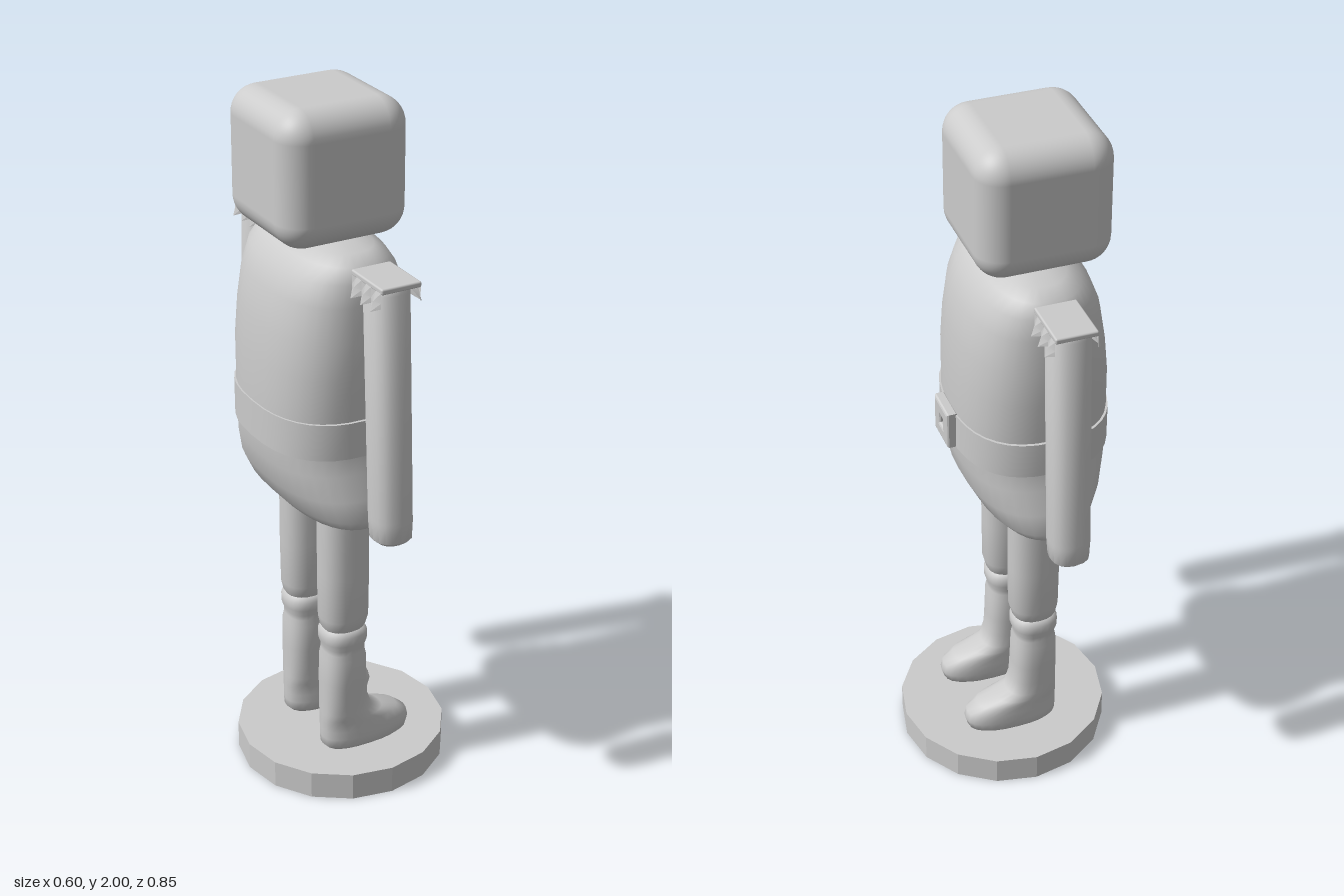
import * as THREE from 'three';
import { toCreasedNormals } from 'three/addons/utils/BufferGeometryUtils.js';
import { RoundedBoxGeometry } from 'three/addons/geometries/RoundedBoxGeometry.js';

const material = new THREE.MeshStandardMaterial({ color: 0xcccccc });
const thinMaterial = new THREE.MeshStandardMaterial({ color: 0xcccccc, side: THREE.DoubleSide });

function add(parent, name, geometry, x = 0, y = 0, z = 0, mat = material) {
  const mesh = new THREE.Mesh(geometry, mat);
  mesh.name = name;
  mesh.position.set(x, y, z);
  parent.add(mesh);
  return mesh;
}

// Closed loft through level rounded sections, each [y, back x, front x, half width in z]
function loft(sections, power = 2.4, sides = 32, crease = 0.8) {
  const points = [], index = [];
  const round = (v) => Math.sign(v) * Math.abs(v) ** (2 / power);
  for (const [y, x0, x1, w] of sections) {
    for (let j = 0; j < sides; j++) {
      const a = (j / sides) * Math.PI * 2;
      points.push((x0 + x1) / 2 + round(Math.cos(a)) * (x1 - x0) / 2, y, round(Math.sin(a)) * w);
    }
  }
  const last = sections.length - 1;
  for (let i = 0; i < last; i++) {
    for (let j = 0; j < sides; j++) {
      const a = i * sides + j, b = i * sides + (j + 1) % sides;
      index.push(a, a + sides, b, b, a + sides, b + sides);
    }
  }
  const bottom = points.length / 3, top = bottom + 1;
  for (const [y, x0, x1] of [sections[0], sections[last]]) points.push((x0 + x1) / 2, y, 0);
  for (let j = 0; j < sides; j++) {
    const k = (j + 1) % sides;
    index.push(bottom, j, k, top, last * sides + k, last * sides + j);
  }
  const g = new THREE.BufferGeometry();
  g.setAttribute('position', new THREE.Float32BufferAttribute(points, 3));
  g.setIndex(index);
  return toCreasedNormals(g, crease);
}

// Pleated strip hanging from one long edge of a shoulder board
function fringe(length, height, pleats) {
  const g = new THREE.PlaneGeometry(length, height, pleats * 2, 2);
  const p = g.attributes.position;
  for (let i = 0; i < p.count; i++) {
    const column = i % (pleats * 2 + 1);
    const drop = 0.5 - p.getY(i) / height;
    p.setZ(i, column % 2 ? 0.018 * drop : 0);
    if (column % 2 === 0 && drop > 0.9) p.setY(i, p.getY(i) + 0.012);
  }
  return toCreasedNormals(g, 0.3);
}

function createArm(side) {
  const arm = new THREE.Group();
  arm.name = side > 0 ? 'leftArm' : 'rightArm';
  const sleeve = add(arm, 'sleeve', loft([
    [-0.36, -0.042, 0.042, 0.045], [-0.35, -0.053, 0.053, 0.056], [-0.3, -0.056, 0.056, 0.059],
    [-0.29, -0.056, 0.056, 0.059], [0.34, -0.056, 0.056, 0.062], [0.355, -0.05, 0.05, 0.056],
  ], 2.4, 16), -0.055, 1.235, side * 0.35);
  sleeve.rotation.x = -side * 0.05;

  // Shoulder board with pleated fringes front and back
  const board = new THREE.Group();
  board.name = 'epaulette';
  board.position.set(-0.052, 1.6, side * 0.326);
  add(board, 'shoulderBoard', new RoundedBoxGeometry(0.115, 0.016, 0.155, 2, 0.005));
  for (const face of [1, -1]) {
    const strip = add(board, 'fringe', fringe(0.145, 0.055, 3), face * 0.057, -0.03, 0, thinMaterial);
    strip.rotation.y = face * Math.PI / 2;
  }
  arm.add(board);
  return arm;
}

function createLeg(side) {
  const leg = new THREE.Group();
  leg.name = side > 0 ? 'leftLeg' : 'rightLeg';
  leg.position.z = side * 0.11;
  add(leg, 'trouser', loft([
    [0.46, -0.105, -0.005, 0.045], [0.48, -0.118, 0.008, 0.057], [0.51, -0.124, 0.016, 0.064],
    [0.65, -0.126, 0.018, 0.065], [0.88, -0.126, 0.018, 0.064],
  ], 2.3, 20));
  add(leg, 'boot', loft([
    [0.08, -0.11, 0.125, 0.052], [0.09, -0.12, 0.145, 0.059], [0.115, -0.122, 0.153, 0.061],
    [0.14, -0.122, 0.147, 0.06], [0.165, -0.122, 0.115, 0.059], [0.18, -0.122, 0.065, 0.059],
    [0.2, -0.121, 0.028, 0.059], [0.24, -0.12, 0.014, 0.059], [0.3, -0.12, 0.01, 0.062],
    [0.38, -0.118, 0.007, 0.062], [0.4, -0.114, 0.003, 0.058], [0.415, -0.114, 0.003, 0.058],
    [0.435, -0.121, 0.01, 0.064], [0.46, -0.121, 0.01, 0.064], [0.475, -0.112, 0.001, 0.055],
  ], 2.5, 24, 1.2));
  return leg;
}

function squarePath(Type, half) {
  const s = new Type();
  s.moveTo(-half, -half);
  s.lineTo(half, -half);
  s.lineTo(half, half);
  s.lineTo(-half, half);
  s.closePath();
  return s;
}

export function createModel() {
  const model = new THREE.Group();
  model.name = 'toySoldier';

  add(model, 'base', toCreasedNormals(new THREE.CylinderGeometry(0.3, 0.3, 0.08, 16).rotateY(Math.PI / 2), 0.1), 0, 0.04, 0);
  add(model, 'head', new RoundedBoxGeometry(0.367, 0.368, 0.367, 5, 0.075), -0.067, 1.816, 0);

  // Coat from flared hem to sloping shoulders
  add(model, 'coat', loft([
    [0.832, -0.11, 0.0, 0.16], [0.842, -0.15, 0.035, 0.23], [0.865, -0.19, 0.07, 0.277],
    [0.89, -0.212, 0.094, 0.287], [0.95, -0.243, 0.125, 0.275], [1.02, -0.26, 0.14, 0.255],
    [1.08, -0.266, 0.146, 0.243], [1.17, -0.267, 0.148, 0.246], [1.3, -0.263, 0.145, 0.26],
    [1.4, -0.253, 0.137, 0.26], [1.5, -0.236, 0.122, 0.255], [1.56, -0.212, 0.098, 0.25],
    [1.6, -0.18, 0.07, 0.235], [1.62, -0.145, 0.04, 0.19], [1.634, -0.1, -0.005, 0.11],
  ], 2.5, 36, 1.3));

  add(model, 'belt', loft([
    [1.07, -0.271, 0.152, 0.252], [1.175, -0.271, 0.152, 0.255],
  ], 2.5, 36));

  // Square buckle with a hole and centre stud
  const plate = squarePath(THREE.Shape, 0.046);
  plate.holes.push(squarePath(THREE.Path, 0.022));
  const frame = new THREE.ExtrudeGeometry(plate, {
    depth: 0.02, bevelEnabled: true, bevelThickness: 0.006, bevelSize: 0.008, bevelSegments: 2,
  }).rotateY(Math.PI / 2);
  add(model, 'buckle', frame, 0.149, 1.125, 0);
  add(model, 'buckleStud', new THREE.BoxGeometry(0.012, 0.018, 0.012), 0.156, 1.12, 0);

  for (const side of [1, -1]) model.add(createArm(side), createLeg(side));
  return model;
}
